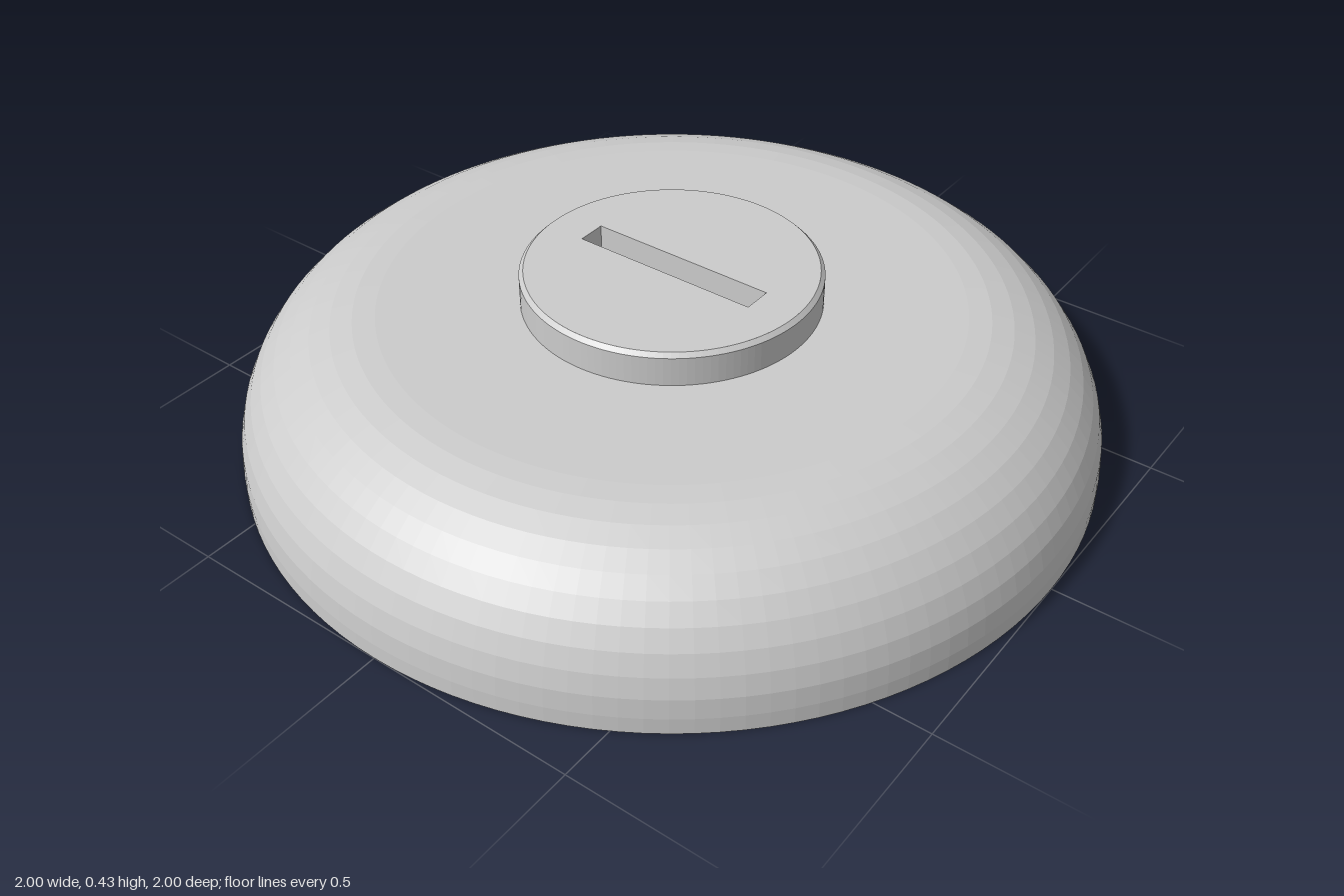
import * as THREE from 'three';

const SEGMENTS = 128;

export function createModel() {
  const group = new THREE.Group();
  const material = new THREE.MeshStandardMaterial({ color: 0xcccccc, flatShading: true });

  const add = (name, geometry) => {
    const mesh = new THREE.Mesh(geometry, material);
    mesh.name = name;
    group.add(mesh);
    return mesh;
  };
  const lathe = (points) =>
    new THREE.LatheGeometry(points.map(([r, y]) => new THREE.Vector2(r, y)), SEGMENTS);

  // Domed body: stepped recess underneath, rounded shoulder, flat top
  const top = 0.345, shoulder = 0.67, shoulderBase = 0.04, steps = 10;
  const profile = [[0, 0.195], [0.29, 0.195], [0.29, 0.12], [0.937, 0.12], [0.937, 0], [1, 0]];
  for (let i = 0; i <= steps; i++) {
    const a = (i / steps) * Math.PI / 2;
    profile.push([
      shoulder + (1 - shoulder) * Math.cos(a),
      shoulderBase + (top - shoulderBase) * Math.sin(a),
    ]);
  }
  profile.push([0, top]);
  add('domedBody', lathe(profile));

  // Knob side with a small chamfer at its upper edge
  const knobTop = 0.425, knobRadius = 0.345, chamfer = 0.01;
  add('knobSide', lathe([
    [knobRadius, top],
    [knobRadius, knobTop - chamfer],
    [knobRadius - chamfer, knobTop],
  ]));

  // Knob core, cut by a straight slot
  const disc = new THREE.Shape().absarc(0, 0, knobRadius - chamfer, 0, Math.PI * 2, false);
  const w = 0.233, d = 0.035;
  disc.holes.push(new THREE.Path([
    new THREE.Vector2(-w, -d), new THREE.Vector2(-w, d),
    new THREE.Vector2(w, d), new THREE.Vector2(w, -d),
  ]));
  const core = new THREE.ExtrudeGeometry(disc, {
    depth: knobTop - top, bevelEnabled: false, curveSegments: SEGMENTS,
  });
  core.rotateX(-Math.PI / 2);
  core.translate(0, top, 0);
  add('slottedKnobTop', core);

  return group;
}
